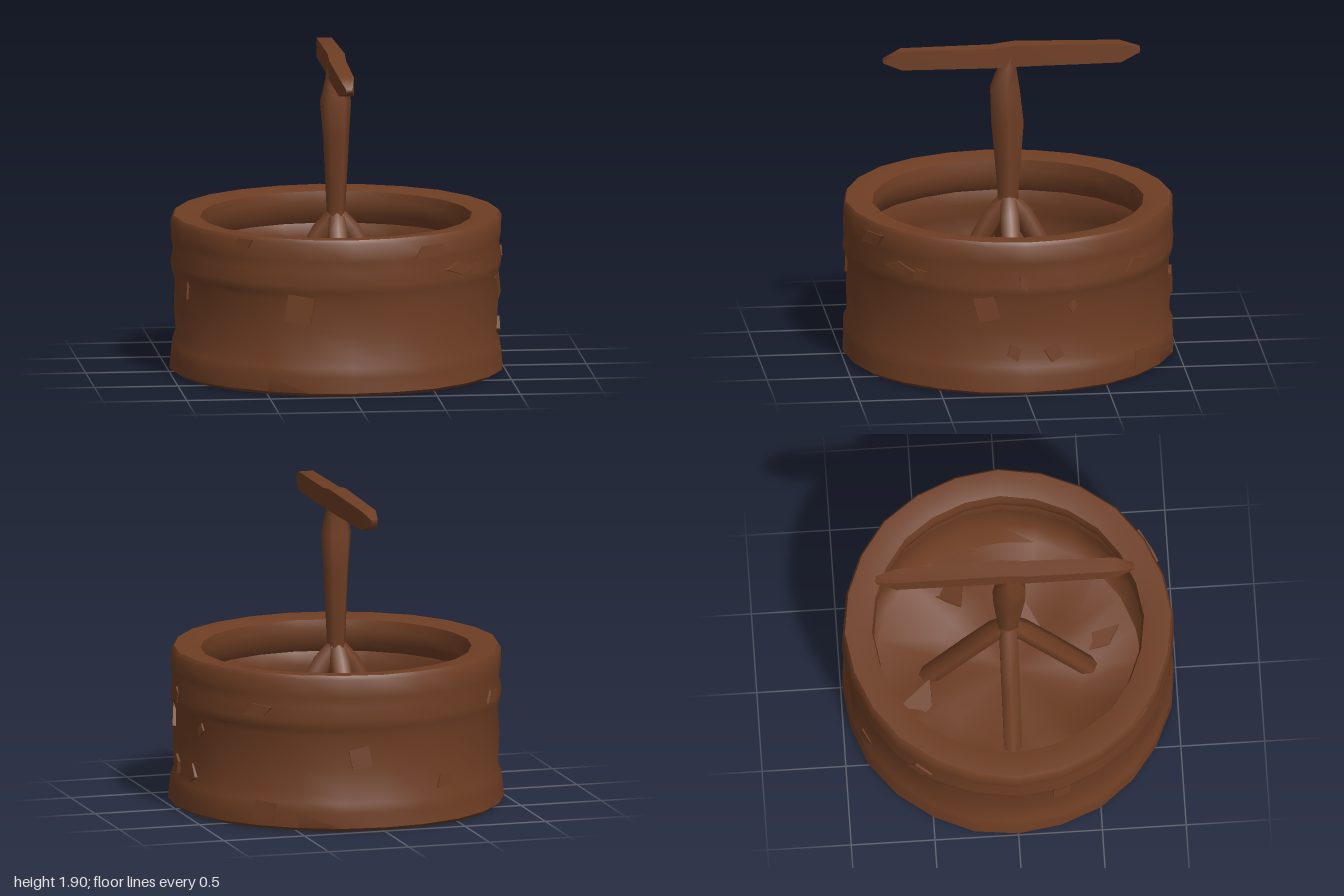
import * as THREE from 'three';
import { mergeVertices, toCreasedNormals } from 'three/addons/utils/BufferGeometryUtils.js';

const bark = new THREE.MeshStandardMaterial({ color: 0x6f3e24 });
bark.name = 'bark brown';
bark.side = THREE.DoubleSide;

function part(name, geometry) {
  const mesh = new THREE.Mesh(geometry, bark);
  mesh.name = name;
  return mesh;
}

// Lofted limb: each section is [x, y, z, halfWidthA, halfWidthB]; A and B are the cross axes
function limb(name, sections, axisA, axisB, sides) {
  const pos = [], index = [];
  const k = 1 / Math.cos(Math.PI / sides);
  for (const s of sections) {
    for (let i = 0; i < sides; i++) {
      const a = (i + 0.5) / sides * Math.PI * 2;
      const ca = Math.cos(a) * s[3] * k, cb = Math.sin(a) * s[4] * k;
      for (let n = 0; n < 3; n++) pos.push(s[n] + axisA[n] * ca + axisB[n] * cb);
    }
  }
  for (let r = 0; r < sections.length - 1; r++) {
    for (let i = 0; i < sides; i++) {
      const j = (i + 1) % sides, a = r * sides, b = a + sides;
      index.push(a + i, a + j, b + j, a + i, b + j, b + i);
    }
  }
  const top = (sections.length - 1) * sides;
  for (let i = 1; i < sides - 1; i++) {
    index.push(0, i + 1, i, top, top + i, top + i + 1);
  }
  const g = new THREE.BufferGeometry();
  g.setAttribute('position', new THREE.Float32BufferAttribute(pos, 3));
  g.setIndex(index);
  return part(name, toCreasedNormals(g, 1.3));
}

// Hollow banded drum with a gently uneven wall and floor
function tub() {
  const profile = [
    [0, 0.05], [0.45, 0.04], [0.8, 0.02], [0.97, 0.01],
    [0.995, 0.03], [0.99, 0.12], [0.985, 0.18], [0.965, 0.23], [0.975, 0.4], [0.965, 0.58],
    [0.982, 0.63], [0.992, 0.68], [0.978, 0.76], [0.985, 0.82], [0.985, 0.93],
    [0.97, 0.955], [0.89, 0.955], [0.81, 0.94], [0.8, 0.88],
    [0.81, 0.8], [0.855, 0.74], [0.83, 0.66], [0.86, 0.58], [0.86, 0.3],
    [0.8, 0.2], [0.45, 0.155], [0, 0.145],
  ].map(([r, y]) => new THREE.Vector2(r, y));
  let g = new THREE.LatheGeometry(profile, 24);
  g.deleteAttribute('uv');
  g.deleteAttribute('normal');
  const p = g.attributes.position;
  for (let i = 0; i < p.count; i++) {
    const x = p.getX(i), y = p.getY(i), z = p.getZ(i);
    const a = Math.atan2(z, x), r = Math.hypot(x, z);
    const k = r < 0.01 ? 1 : 1 + 0.008 * Math.sin(a * 5 + y * 9) * Math.cos(a * 3 - y * 14);
    const wave = r > 0.1 && r < 0.82 && y > 0.1 && y < 0.25 ? 0.035 * Math.sin(a * 4 + r * 7) : 0;
    p.setXYZ(i, x * k, y + wave, z * k);
  }
  g = mergeVertices(g, 1e-4);
  return part('tub', toCreasedNormals(g, 0.85));
}

// Ragged four-cornered flake; skew shifts its corners
function flake(w, h, depth, skew) {
  const shape = new THREE.Shape([
    new THREE.Vector2(-w / 2, -h / 2 + skew * h), new THREE.Vector2(w / 2 - skew * w, -h / 2),
    new THREE.Vector2(w / 2, h / 2 - skew * h), new THREE.Vector2(-w / 2 + skew * w, h / 2),
  ]);
  return new THREE.ExtrudeGeometry(shape, { depth, bevelEnabled: false });
}

// Bark flakes on the wall: [angle from front, height, width, height size, tilt, skew]
function barkFlakes() {
  const group = new THREE.Group();
  group.name = 'barkFlakes';
  const list = [
    [-0.33, 0.53, 0.18, 0.18, 0.0, 0.12], [0.5, 0.86, 0.22, 0.09, 0.2, 0.3],
    [-0.7, 0.91, 0.14, 0.07, 0.2, 0.3], [0.75, 0.73, 0.24, 0.08, -0.1, 0.4],
    [1.33, 0.54, 0.15, 0.18, 0.5, 0.2], [0.9, 0.71, 0.1, 0.08, 0.1, 0.2],
    [1.5, 0.27, 0.09, 0.12, 0.3, 0.45], [1.75, 0.26, 0.13, 0.12, -0.4, 0.45],
    [1.56, 0.7, 0.06, 0.1, 0.3, 0.4], [1.87, 0.54, 0.06, 0.08, -0.3, 0.4],
    [2.35, 0.72, 0.2, 0.1, 0.2, 0.4], [2.4, 0.12, 0.16, 0.14, 0.1, 0.2],
    [-1.3, 0.55, 0.14, 0.14, 0.4, 0.3], [-2.2, 0.7, 0.18, 0.09, 0.2, 0.4],
    [3.0, 0.45, 0.16, 0.16, 0.6, 0.3], [-2.7, 0.28, 0.16, 0.1, 0.5, 0.4],
  ];
  for (const [a, y, w, h, tilt, skew] of list) {
    const chip = part('barkFlake', flake(w, h, 0.025, skew));
    const r = y > 0.6 || y < 0.2 ? 0.967 : 0.952;
    chip.position.set(Math.sin(a) * r, y, Math.cos(a) * r);
    chip.rotation.set(-0.06, a, tilt, 'YXZ');
    group.add(chip);
  }
  return group;
}

// Slanted shards on the floor: [x, z, length, width, turn, slope]
function floorShards() {
  const group = new THREE.Group();
  group.name = 'floorShards';
  const list = [
    [-0.2, -0.55, 0.34, 0.16, -0.6, 0.2], [0.35, 0.1, 0.5, 0.12, 0.65, 0.2],
    [0.55, -0.33, 0.36, 0.24, 0.3, -0.2], [0.15, 0.56, 0.28, 0.12, -1.1, 0.2],
    [0.42, 0.58, 0.26, 0.08, 0.5, 0.15], [-0.62, -0.12, 0.26, 0.1, -0.9, 0.25],
  ];
  for (const [x, z, len, w, turn, slope] of list) {
    const shard = part('floorShard', flake(len, w, 0.02, 0.4).rotateX(-Math.PI / 2));
    shard.rotation.set(0, turn, slope, 'YXZ');
    shard.position.set(x, 0.17, z);
    group.add(shard);
  }
  return group;
}

export function createModel() {
  const model = new THREE.Group();
  model.name = 'tubWithHandle';
  model.add(tub(), barkFlakes(), floorShards());

  // Upright post, swelling below the crossbar
  model.add(limb('post', [
    [0, 0.84, 0, 0.058, 0.048], [0, 1.0, 0, 0.06, 0.05],
    [0, 1.42, 0.004, 0.094, 0.068], [-0.005, 1.63, 0.018, 0.084, 0.081],
    [0, 1.77, 0.003, 0.048, 0.055], [0, 1.87, -0.02, 0.045, 0.045],
  ], [0, 0, 1], [1, 0, 0], 6));

  // Crossbar running front to back with pointed ends
  model.add(limb('crossbar', [
    [0, 1.845, -0.79, 0.02, 0.015], [0, 1.835, -0.67, 0.045, 0.058],
    [0.005, 1.84, -0.04, 0.052, 0.066], [0, 1.827, 0.1, 0.05, 0.06],
    [-0.005, 1.825, 0.64, 0.045, 0.056], [0, 1.82, 0.75, 0.02, 0.01],
  ], [1, 0, 0], [0, 1, 0], 4));

  // Four splayed legs from the post down to the floor
  for (let i = 0; i < 4; i++) {
    const leg = limb('leg', [
      [0.48, 0.13, 0, 0.053, 0.053], [0.25, 0.55, 0, 0.055, 0.055],
      [0.08, 0.85, 0, 0.055, 0.055], [0, 0.95, 0, 0.045, 0.045],
    ], [0, 0, 1], [0.87, 0.5, 0], 6);
    leg.rotation.y = i * Math.PI / 2;
    model.add(leg);
  }
  return model;
}
